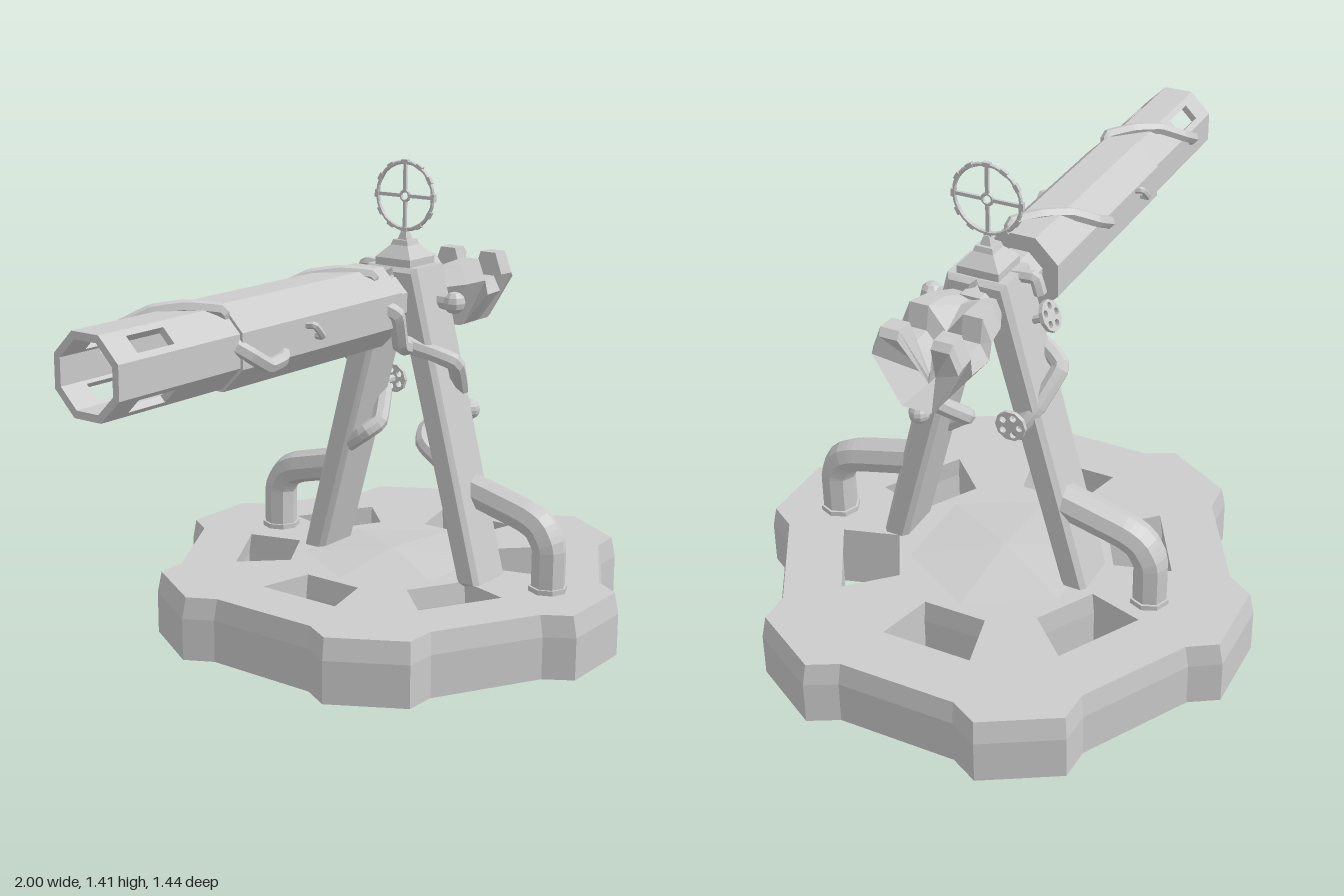
import * as THREE from 'three';

const mat = new THREE.MeshStandardMaterial({ color: 0xcccccc, flatShading: true, side: THREE.DoubleSide });
const V = (x, y, z) => new THREE.Vector3(x, y, z);
const MID = 0.04; // z of the stand's centre plane

function add(parent, name, geo, x = 0, y = 0, z = 0) {
  const m = new THREE.Mesh(geo, mat);
  m.name = name;
  m.position.set(x, y, z);
  parent.add(m);
  return m;
}

function shapeOf(pts) {
  return new THREE.Shape(pts.map(p => new THREE.Vector2(p[0], p[1])));
}

// Bent pipe through a few points
function pipe(parent, name, pts, r, sides = 8) {
  const curve = new THREE.CatmullRomCurve3(pts, false, 'catmullrom', 0.18);
  return add(parent, name, new THREE.TubeGeometry(curve, pts.length * 6, r, sides));
}

// Octagonal cylinder lying along x, flats facing up and sideways
function octagon(apothem, x0, x1) {
  const r = apothem / Math.cos(Math.PI / 8);
  return new THREE.CylinderGeometry(r, r, x1 - x0, 8).rotateY(Math.PI / 8)
    .rotateZ(Math.PI / 2).translate((x0 + x1) / 2, 0, 0);
}

// Hexagonal base with a tooth on each corner and six openings
function buildBase() {
  const base = new THREE.Group();
  base.name = 'base';
  const polar = (a, r, t) => [r * Math.cos(a) - t * Math.sin(a), r * Math.sin(a) + t * Math.cos(a)];
  const outline = [], holes = [];
  for (let k = 0; k < 6; k++) {
    const a = Math.PI / 6 + k * Math.PI / 3, h = k * Math.PI / 3;
    outline.push(polar(a, 0.64, -0.17), polar(a, 0.72, -0.12), polar(a, 0.72, 0.12), polar(a, 0.64, 0.17));
    holes.push([polar(h, 0.31, -0.095), polar(h, 0.31, 0.095), polar(h, 0.475, 0.135), polar(h, 0.475, -0.135)]);
  }
  const s = shapeOf(outline);
  holes.forEach(h => s.holes.push(shapeOf(h)));
  const geo = new THREE.ExtrudeGeometry(s, { depth: 0.19, steps: 3, bevelEnabled: false }).rotateX(-Math.PI / 2);
  const p = geo.attributes.position;
  for (let i = 0; i < p.count; i++) {
    if (p.getY(i) > 0.15) p.setXYZ(i, p.getX(i) * 0.982, p.getY(i), p.getZ(i) * 0.982);
  }
  geo.computeVertexNormals();
  add(base, 'basePlate', geo);
  add(base, 'baseCrown', new THREE.CylinderGeometry(0.01, 0.3, 0.025, 6).rotateY(Math.PI / 6), 0, 0.2, 0);
  base.position.x = 0.315;
  return base;
}

// Hand wheel with its face along +z
function handWheel(name) {
  const g = new THREE.Group();
  g.name = name;
  const s = new THREE.Shape().absarc(0, 0, 0.045, 0, Math.PI * 2);
  for (let k = 0; k < 5; k++) {
    const a = k * Math.PI * 0.4;
    s.holes.push(new THREE.Path().absarc(0.027 * Math.cos(a), 0.027 * Math.sin(a), 0.01, 0, Math.PI * 2, true));
  }
  add(g, 'wheelDisc', new THREE.ExtrudeGeometry(s, { depth: 0.012, bevelEnabled: false, curveSegments: 5 }));
  add(g, 'wheelStem', new THREE.CylinderGeometry(0.012, 0.012, 0.07, 6).rotateX(Math.PI / 2), 0, 0, -0.03);
  return g;
}

function buildStand() {
  const stand = new THREE.Group();
  stand.name = 'stand';
  for (const side of [1, -1]) {
    const half = new THREE.Group();
    half.name = side > 0 ? 'frontHalf' : 'backHalf';
    // Leaning leg with chamfered edges
    const leg = shapeOf([[-0.312, 0.19], [-0.262, 0.19], [-0.014, 1.09], [-0.076, 1.09]]);
    add(half, 'leg', new THREE.ExtrudeGeometry(leg, {
      depth: 0.13, bevelSize: 0.014, bevelThickness: 0.015, bevelSegments: 1,
    }).rotateY(Math.PI / 2), 0.242, 0, 0);
    // Thick strut pipe standing on the base
    pipe(half, 'strutPipe', [V(0.335, 0.17, 0.5), V(0.335, 0.32, 0.5), V(0.335, 0.375, 0.47),
      V(0.335, 0.4, 0.42), V(0.335, 0.45, 0.22)], 0.051);
    add(half, 'strutFoot', new THREE.CylinderGeometry(0.058, 0.058, 0.02, 8), 0.335, 0.195, 0.5);
    // Thin pipe winding round the leg
    pipe(half, 'legPipe', [V(0.22, 0.885, 0.06), V(0.25, 0.86, 0.15), V(0.28, 0.835, 0.2), V(0.36, 0.74, 0.165),
      V(0.385, 0.69, 0.13), V(0.3, 0.61, 0.085), V(0.26, 0.58, 0.11), V(0.26, 0.53, 0.18)], 0.026);
    half.scale.z = side;
    stand.add(half);
  }
  stand.position.z = MID;

  // Stepped pyramid cap
  const r2 = Math.SQRT2;
  const tier = (a, b, y0, y1) => add(stand, 'capTier',
    new THREE.CylinderGeometry(b * r2, a * r2, y1 - y0, 4).rotateY(Math.PI / 4), 0.305, (y0 + y1) / 2, 0);
  tier(0.062, 0.062, 1.1, 1.125);
  tier(0.062, 0.03, 1.125, 1.16);
  tier(0.03, 0.025, 1.16, 1.175);
  tier(0.016, 0.008, 1.175, 1.2);

  // Ring sight with cross wires
  const sight = new THREE.Group();
  sight.name = 'ringSight';
  add(sight, 'sightRing', new THREE.TorusGeometry(0.098, 0.006, 6, 24).rotateY(Math.PI / 2));
  add(sight, 'sightHub', new THREE.TorusGeometry(0.015, 0.005, 6, 10).rotateY(Math.PI / 2));
  for (let k = 0; k < 12; k++) {
    const a = k * Math.PI / 6;
    if (k % 3 === 0) {
      const spoke = add(sight, 'crossWire', new THREE.BoxGeometry(0.008, 0.08, 0.01), 0, 0.056 * Math.cos(a), 0.056 * Math.sin(a));
      spoke.rotation.x = a;
    }
    const stud = add(sight, 'ringStud', new THREE.BoxGeometry(0.013, 0.012, 0.022), 0, 0.099 * Math.cos(a), 0.099 * Math.sin(a));
    stud.rotation.x = a;
  }
  sight.position.set(0.303, 1.302, 0);
  stand.add(sight);

  // Knobs
  add(stand, 'pivotPin', new THREE.CylinderGeometry(0.024, 0.024, 0.12, 8).rotateX(Math.PI / 2), 0.33, 1, 0.1);
  add(stand, 'pivotKnob', new THREE.SphereGeometry(0.033, 8, 6), 0.33, 1, 0.16);
  add(stand, 'legKnobStem', new THREE.CylinderGeometry(0.016, 0.016, 0.05, 8).rotateZ(Math.PI / 2), 0.39, 0.665, 0.165);
  add(stand, 'legKnob', new THREE.SphereGeometry(0.031, 10, 8), 0.417, 0.665, 0.165);

  // Hand wheels
  const legWheel = handWheel('legWheel');
  legWheel.position.set(0.425, 0.715, -0.125);
  legWheel.rotation.y = Math.PI / 2;
  const pivotWheel = handWheel('pivotWheel');
  pivotWheel.position.set(0.285, 0.985, -0.165);
  pivotWheel.lookAt(0.285, 1.4, -1);
  stand.add(legWheel, pivotWheel);
  pipe(stand, 'pivotHook', [V(0.29, 1.09, -0.06), V(0.29, 1.095, -0.13), V(0.29, 1.05, -0.145)], 0.018, 6);
  return stand;
}

// Open claw at the rear, lofted from U-shaped sections
function clawGeometry() {
  // x, width scale, top, bottom, trough floor
  const stations = [
    [0.37, 0.55, 1.06, 0.95, 1.06], [0.46, 0.88, 1.085, 0.9, 1.07], [0.54, 1, 1.095, 0.885, 1.03],
    [0.555, 1, 1.03, 0.885, 0.97], [0.635, 0.95, 1.03, 0.885, 0.96], [0.64, 0.95, 1.1, 0.885, 0.95],
    [0.69, 0.98, 1.1, 0.885, 0.93], [0.705, 0.95, 1.08, 0.89, 0.93]];
  const pos = [], idx = [], n = 9;
  stations.forEach(([x, s, t, b, f], j) => {
    const side = t + (b - t) * 0.3;
    const right = [[0.05, t], [0.105, t], [0.13, side], [0.045, b]];
    const left = right.map(p => [-p[0], p[1]]).reverse();
    const fx = j > 5 ? x - 0.05 * (j - 5) : x;
    for (const [z, y] of [...right, ...left]) pos.push(x, y, z * s);
    pos.push(Math.max(fx, 0.37), f, 0);
    if (j) for (let i = 0; i < n; i++) {
      const a = (j - 1) * n + i, q = (j - 1) * n + (i + 1) % n;
      idx.push(a, q, q + n, a, q + n, a + n);
    }
  });
  const last = (stations.length - 1) * n;
  for (let i = 0; i < n - 2; i++) {
    idx.push(last + 8, last + i, last + i + 1, 8, i + 1, i);
  }
  const g = new THREE.BufferGeometry();
  g.setAttribute('position', new THREE.Float32BufferAttribute(pos, 3));
  g.setIndex(idx);
  g.computeVertexNormals();
  return g;
}

function buildBarrel() {
  const barrel = new THREE.Group();
  barrel.name = 'barrel';
  barrel.position.set(0, 1.005, 0.035);
  // Hollow muzzle from eight panels, slots in the diagonal ones
  const w = 0.108 * Math.tan(Math.PI / 8);
  for (let k = 0; k < 8; k++) {
    const s = shapeOf([[-1, -w], [-0.5, -w], [-0.5, w], [-1, w]]);
    if (k % 2) s.holes.push(shapeOf([[-0.92, -0.026], [-0.92, 0.026], [-0.79, 0.026], [-0.79, -0.026]]));
    add(barrel, 'muzzlePanel', new THREE.ExtrudeGeometry(s, { depth: 0.02, bevelEnabled: false })
      .translate(0, 0, 0.088).rotateX(k * Math.PI / 4));
  }
  add(barrel, 'barrelSleeve', octagon(0.116, -0.56, 0.135));
  add(barrel, 'barrelNeck', octagon(0.07, 0.1, 0.42));

  // Pipes crossing over the top; angle is measured from up towards the front
  const on = (x, deg, r) => V(x, r * Math.cos(deg * Math.PI / 180), r * Math.sin(deg * Math.PI / 180));
  for (const x of [-0.86, -0.22]) {
    pipe(barrel, 'topPipe', [on(x, -85, 0.09), on(x + 0.03, -75, 0.125), on(x + 0.1, -60, 0.135), on(x + 0.16, -30, 0.122),
      on(x + 0.22, 0, 0.115), on(x + 0.28, 30, 0.122), on(x + 0.3, 35, 0.09)], 0.019, 6);
  }
  pipe(barrel, 'sidePipe', [on(-0.57, 82, 0.1), on(-0.54, 95, 0.125), on(-0.47, 112, 0.135), on(-0.41, 110, 0.13), on(-0.38, 108, 0.1)], 0.021, 6);
  pipe(barrel, 'feedPipe', [on(0.08, 85, 0.1), on(0.1, 95, 0.125), on(0.145, 135, 0.15), V(0.2, -0.125, 0.085), V(0.27, -0.13, 0.08)], 0.024, 6);
  // Small hooks
  for (const [x, a] of [[-0.28, 85], [-0.42, -80]]) {
    pipe(barrel, 'hook', [on(x - 0.02, a - 8, 0.1), on(x - 0.01, a - 6, 0.14), on(x + 0.02, a + 8, 0.14), on(x + 0.025, a + 10, 0.1)], 0.01, 6);
  }
  return barrel;
}

export function createModel() {
  const model = new THREE.Group();
  model.name = 'mountedCannon';
  model.add(buildBase(), buildStand(), buildBarrel());
  add(model, 'rearClaw', clawGeometry(), 0, 0, MID);
  return model;
}
